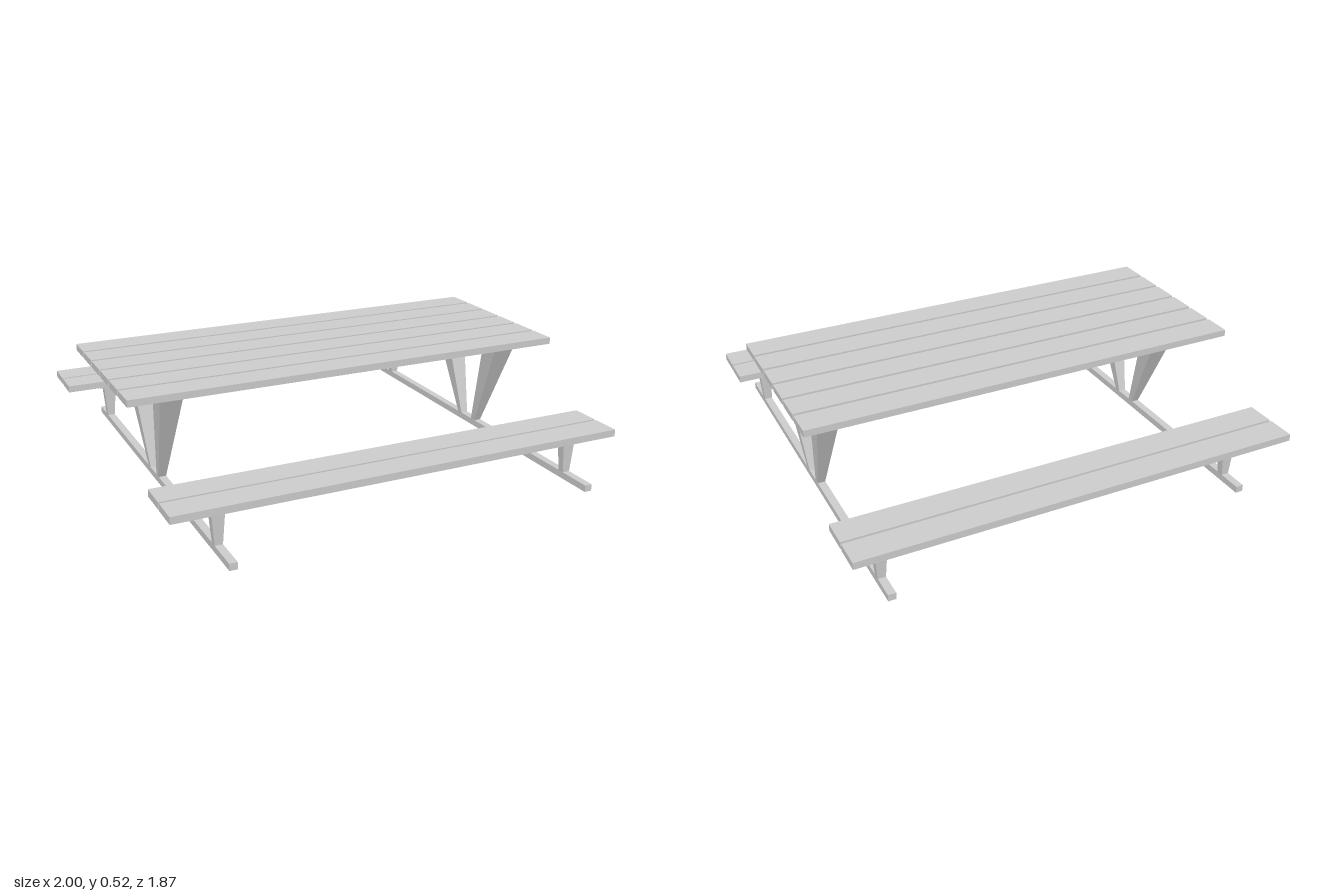
import * as THREE from 'three';

const material = new THREE.MeshStandardMaterial({ color: 0xcccccc, flatShading: true });

export function createModel() {
  const model = new THREE.Group();
  model.name = 'picnicTable';

  // Box given by its limits on each axis
  function board(name, [x0, x1], [y0, y1], [z0, z1]) {
    const mesh = new THREE.Mesh(new THREE.BoxGeometry(x1 - x0, y1 - y0, z1 - z0), material);
    mesh.position.set((x0 + x1) / 2, (y0 + y1) / 2, (z0 + z1) / 2);
    mesh.name = name;
    model.add(mesh);
  }

  // Tapered, slanted leg: each end has a height, a centre z, a width in x and a depth in z
  function leg(name, x, bottom, top) {
    const geometry = new THREE.BoxGeometry(1, 1, 1);
    const p = geometry.attributes.position;
    for (let i = 0; i < p.count; i++) {
      const end = p.getY(i) > 0 ? top : bottom;
      p.setXYZ(i, p.getX(i) * end.w, end.y, end.z + p.getZ(i) * end.d);
    }
    geometry.computeVertexNormals();
    const mesh = new THREE.Mesh(geometry, material);
    mesh.position.x = x;
    mesh.name = name;
    model.add(mesh);
  }

  const full = [-1, 1];
  const beamSpan = [-0.828, 0.9];
  const slat = 0.126;

  // Table top slats
  for (let i = 0; i < 6; i++) {
    const z = -0.427 + i * 0.1402;
    board('tableSlat', full, [0.495, 0.525], [z, z + slat]);
  }
  // Long beam under the front slats, between the two cross beams
  board('tableLongBeam', [-0.725, 0.797], [0.465, 0.495], [0.263, 0.321]);

  // Benches: two slats on one long beam
  const benches = [
    { name: 'frontBench', slats: [0.63, 0.767], beam: [0.706, 0.806], legZ: 0.762 },
    { name: 'backBench', slats: [-0.933, -0.796], beam: [-0.854, -0.754], legZ: -0.79 },
  ];
  for (const b of benches) {
    for (const z of b.slats) board(b.name + 'Slat', full, [0.214, 0.245], [z, z + slat]);
    board(b.name + 'Beam', beamSpan, [0.181, 0.214], b.beam);
  }

  // End frames: floor rail, cross beam, V legs and bench legs
  for (const x of [-0.777, 0.848]) {
    board('floorRail', [x - 0.017, x + 0.017], [0, 0.03], [-0.911, 0.933]);
    board('crossBeam', [x - 0.052, x + 0.052], [0.465, 0.495], [-0.329, 0.321]);
    leg('frontTableLeg', x, { y: 0.03, z: 0.054, w: 0.034, d: 0.031 }, { y: 0.465, z: 0.215, w: 0.103, d: 0.103 });
    leg('backTableLeg', x, { y: 0.03, z: -0.064, w: 0.034, d: 0.031 }, { y: 0.465, z: -0.224, w: 0.103, d: 0.103 });
    for (const b of benches) {
      leg(b.name + 'Leg', x, { y: 0.03, z: b.legZ, w: 0.034, d: 0.031 }, { y: 0.181, z: b.legZ, w: 0.058, d: 0.042 });
    }
  }
  return model;
}
